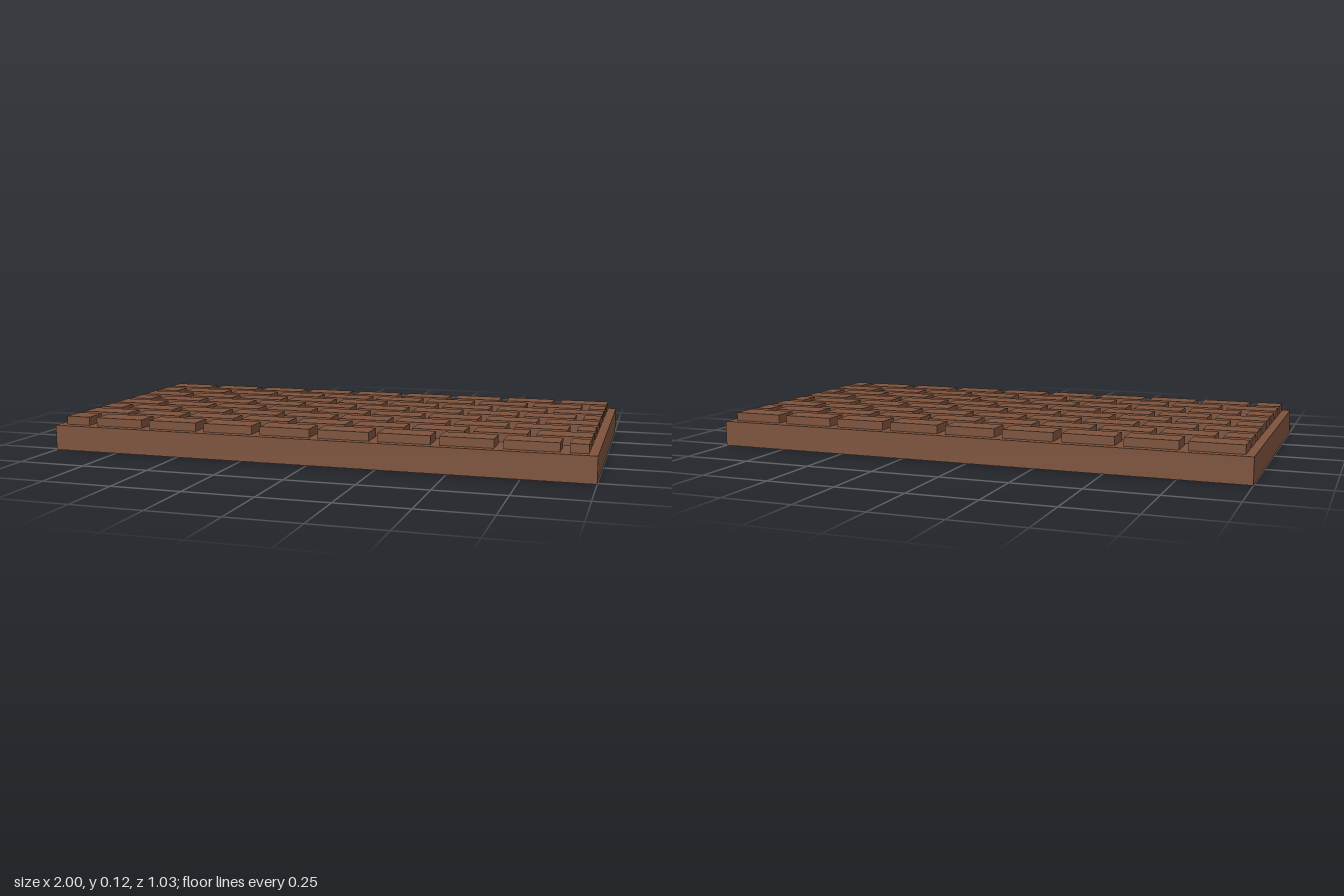
import * as THREE from 'three';

const U = 1 / 32; // module: one joint width

export function createModel() {
  const group = new THREE.Group();
  group.name = 'chocolateBar';
  const chocolate = new THREE.MeshStandardMaterial({ color: 0x7d523c });
  chocolate.name = 'chocolate brown';

  // box given by its left, bottom and back corner and its size, in modules
  const addBox = (name, parent, x, y, z, w, h, d) => {
    const mesh = new THREE.Mesh(new THREE.BoxGeometry(w * U, h * U, d * U), chocolate);
    mesh.position.set((x + w / 2) * U, (y + h / 2) * U, (z + d / 2) * U);
    mesh.name = name;
    parent.add(mesh);
  };

  // solid slab
  addBox('slab', group, -32, 0, -16.5, 64, 3, 33);

  // eight rows of raised bricks; every other row starts with a half brick
  for (let row = 0; row < 8; row++) {
    const course = new THREE.Group();
    course.name = `brickRow${row + 1}`;
    group.add(course);
    let width = row % 2 ? 3 : 6;
    for (let x = -31; x < 31; x += width + 1, width = 6) {
      if (x > -31) width = 6;
      const w = Math.min(width, 31 - x);
      addBox('brick', course, x, 3, -15.5 + row * 4, w, 1, 3);
    }
  }
  return group;
}
